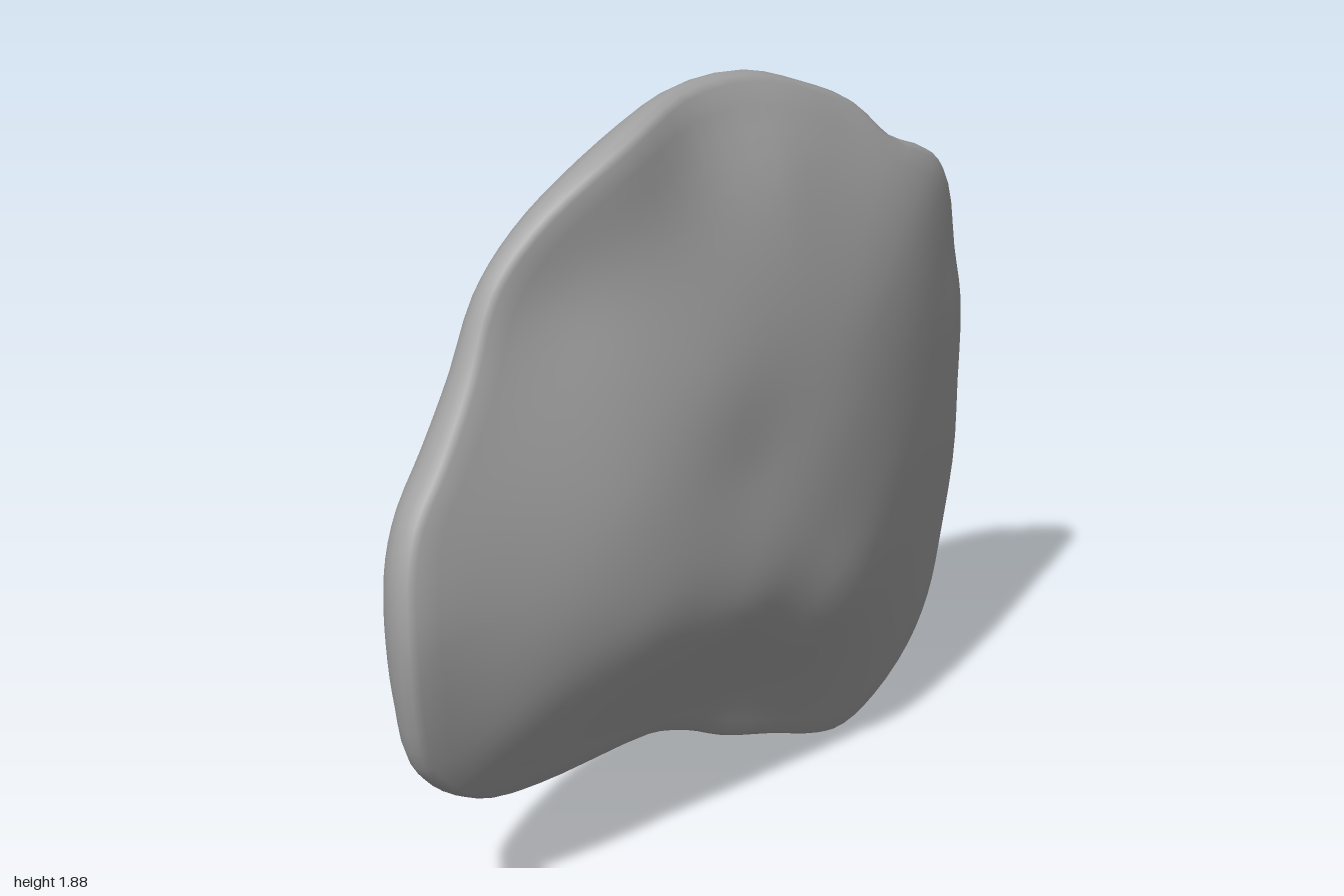
import * as THREE from 'three';

// Silhouette, clockwise from the far left (x, y)
const OUTLINE = [
  [-1, 0.9], [-0.985, 1.0], [-0.945, 1.1], [-0.86, 1.21], [-0.75, 1.38], [-0.67, 1.55], [-0.6, 1.64],
  [-0.48, 1.745], [-0.3, 1.84], [-0.05, 1.88], [0.23, 1.87], [0.4, 1.815], [0.55, 1.745], [0.65, 1.645],
  [0.8, 1.575], [0.87, 1.49], [0.93, 1.3], [0.98, 1.14], [0.99, 0.9], [0.995, 0.66], [0.96, 0.42],
  [0.92, 0.28], [0.84, 0.16], [0.7, 0.05], [0.58, 0.005], [0.47, 0.025], [0.28, 0.1], [0.1, 0.16],
  [-0.04, 0.23], [-0.2, 0.285], [-0.5, 0.285], [-0.7, 0.305], [-0.84, 0.38], [-0.93, 0.48],
  [-0.98, 0.65], [-1, 0.8],
];

// Front relief (x, y, z): rim first, then the bulging face
const FRONT = [
  [-1, 0.85, 0.1], [-0.86, 1.21, 0.06], [-0.7, 1.47, 0.03], [-0.48, 1.74, 0.07], [-0.3, 1.83, 0.09],
  [-0.02, 1.88, -0.01], [0.22, 1.87, -0.04], [0.52, 1.75, 0], [0.8, 1.57, 0.05], [0.93, 1.3, 0.02],
  [0.985, 0.9, 0], [0.97, 0.5, -0.02], [0.84, 0.16, -0.02], [0.58, 0.01, -0.02], [0.28, 0.1, 0],
  [0, 0.22, 0], [-0.4, 0.29, 0.02], [-0.7, 0.31, 0.02], [-0.93, 0.48, 0.05],
  [-0.7, 0.95, 0.13], [-0.42, 1.0, 0.18], [-0.33, 0.67, 0.18], [0, 0.62, 0.187], [0.33, 0.52, 0.17],
  [0, 1, 0.19], [0.3, 1, 0.19], [0.3, 0.72, 0.187], [-0.1, 1.22, 0.187], [0.52, 0.8, 0.155],
  [0.76, 0.8, 0.08], [0.7, 1.2, 0.1], [0.45, 1.3, 0.15], [0, 1.45, 0.15], [-0.4, 1.36, 0.12],
  [-0.5, 1.53, 0.06], [-0.3, 1.68, 0.1], [0.2, 1.7, 0.06], [0.6, 0.3, 0.06], [0, 0.42, 0.09],
  [-0.4, 0.45, 0.09], [-0.7, 0.5, 0.1],
];

// Back relief (x, y, z): thick border, then the curved hollow and central swelling
const BACK = [
  [-0.73, 0.9, -0.13], [-0.55, 1.3, -0.13], [-0.33, 1.55, -0.125], [0, 1.65, -0.18], [0.35, 1.6, -0.175],
  [0.62, 1.45, -0.155], [0.73, 1.25, -0.155], [0.74, 0.95, -0.19], [0.72, 0.6, -0.19], [0.5, 0.27, -0.16],
  [0.2, 0.37, -0.18], [-0.2, 0.45, -0.16], [-0.6, 0.5, -0.145],
  [0.4, 1.32, -0.1], [0.1, 1.3, -0.07], [-0.12, 1.1, -0.06], [-0.33, 0.8, -0.08],
  [0.42, 0.98, -0.15], [0.15, 0.98, -0.09], [0, 0.75, -0.11], [0.25, 0.62, -0.12], [0.5, 0.62, -0.15],
];

// Smooth height field through scattered points (radial basis interpolation)
function heightField(points) {
  const phi = (x, y, p) => Math.sqrt((x - p[0]) ** 2 + (y - p[1]) ** 2 + 0.012);
  const mean = points.reduce((sum, p) => sum + p[2], 0) / points.length;
  const n = points.length;
  const m = points.map((a) => [...points.map((b) => phi(a[0], a[1], b)), a[2] - mean]);
  for (let c = 0; c < n; c++) {
    let pivot = c;
    for (let r = c + 1; r < n; r++) if (Math.abs(m[r][c]) > Math.abs(m[pivot][c])) pivot = r;
    [m[c], m[pivot]] = [m[pivot], m[c]];
    for (let r = 0; r < n; r++) {
      if (r === c) continue;
      const f = m[r][c] / m[c][c];
      for (let k = c; k <= n; k++) m[r][k] -= f * m[c][k];
    }
  }
  const weights = m.map((row, i) => row[n] / row[i]);
  return (x, y) => points.reduce((sum, p, i) => sum + weights[i] * phi(x, y, p), mean);
}

// Outline with its small dents averaged away
function smoothed(loop, reach) {
  return loop.map((_, i) => {
    const sum = new THREE.Vector3();
    for (let k = -reach; k <= reach; k++) sum.add(loop[(i + k + loop.length) % loop.length]);
    return sum.divideScalar(2 * reach + 1);
  });
}

function slabGeometry() {
  const SEGMENTS = 108, FACE_RINGS = 18, EDGE_RINGS = 10, INSET = 0.25;
  const centre = new THREE.Vector3(0.05, 0.95, 0);
  const front = heightField(FRONT);
  const back = heightField(BACK);
  const curve = new THREE.CatmullRomCurve3(
    [...OUTLINE].reverse().map(([x, y]) => new THREE.Vector3(x, y, 0)), true);
  const rim = Array.from({ length: SEGMENTS }, (_, i) => curve.getPoint(i / SEGMENTS));
  const softRim = smoothed(rim, 5);

  const positions = [centre.x, centre.y, front(centre.x, centre.y)];
  const addRing = (scale, softness, depth) => rim.forEach((p, i) => {
    const q = p.clone().lerp(softRim[i], softness);
    q.lerpVectors(centre, q, scale);
    positions.push(q.x, q.y, depth(q.x, q.y, i));
  });

  // Front face out to its tight edge
  for (let i = 1; i <= FACE_RINGS; i++) addRing(0.98 * i / FACE_RINGS, 0, front);
  addRing(0.994, 0, (x, y) => front(x, y) - 0.012);
  // Rounded edge rolling over to the back
  const edgeStart = rim.map((p) => front(p.x, p.y) - 0.035);
  const edgeEnd = softRim.map((p) => {
    const q = new THREE.Vector3().lerpVectors(centre, p, 1 - INSET);
    return back(q.x, q.y);
  });
  for (let i = 0; i < EDGE_RINGS; i++) {
    const a = (i / EDGE_RINGS) * Math.PI / 2;
    addRing(1 - INSET * (1 - Math.cos(a)), Math.sin(a) ** 2,
      (x, y, s) => THREE.MathUtils.lerp(edgeStart[s], edgeEnd[s], Math.sin(a)));
  }
  // Back face in to the centre
  for (let i = FACE_RINGS; i > 0; i--) addRing((1 - INSET) * i / FACE_RINGS, 1, back);
  positions.push(centre.x, centre.y, back(centre.x, centre.y));

  const rings = (positions.length / 3 - 2) / SEGMENTS;
  const last = positions.length / 3 - 1;
  const at = (r, s) => 1 + r * SEGMENTS + (s % SEGMENTS);
  const index = [];
  for (let s = 0; s < SEGMENTS; s++) {
    index.push(0, at(0, s), at(0, s + 1));
    for (let r = 0; r < rings - 1; r++) {
      index.push(at(r, s), at(r + 1, s), at(r + 1, s + 1));
      index.push(at(r, s), at(r + 1, s + 1), at(r, s + 1));
    }
    index.push(at(rings - 1, s), last, at(rings - 1, s + 1));
  }

  const geometry = new THREE.BufferGeometry();
  geometry.setAttribute('position', new THREE.Float32BufferAttribute(positions, 3));
  geometry.setIndex(index);
  geometry.computeVertexNormals();
  return geometry;
}

export function createModel() {
  const stone = new THREE.MeshStandardMaterial({ color: 0xa3a3a3 });
  stone.name = 'stone grey';
  const slab = new THREE.Mesh(slabGeometry(), stone);
  slab.name = 'stoneSlab';
  const group = new THREE.Group();
  group.name = 'flatStone';
  group.add(slab);
  return group;
}
